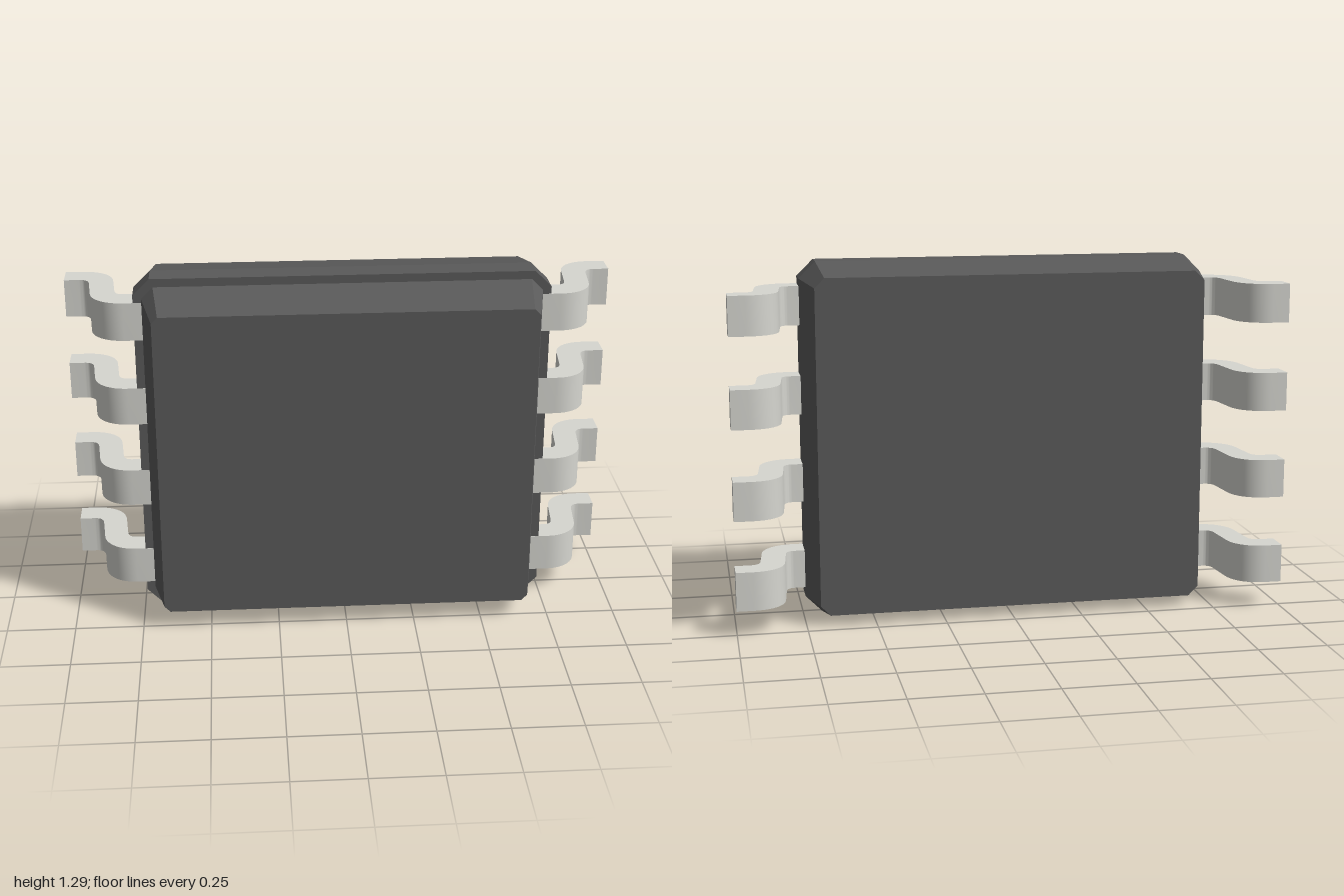
import * as THREE from 'three';
import { toCreasedNormals } from 'three/addons/utils/BufferGeometryUtils.js';

const MID_Y = 0.645;

// Rectangle with chamfered corners, counter-clockwise seen from +z
function ring([z, hw, hh, c]) {
  return [
    [hw, -hh + c], [hw, hh - c], [hw - c, hh], [-hw + c, hh],
    [-hw, hh - c], [-hw, -hh + c], [-hw + c, -hh], [hw - c, -hh],
  ].map(([x, y]) => [x, y, z]);
}

// Faceted solid through sections ordered from back to front
function loft(sections) {
  const rings = sections.map(ring);
  const pos = [];
  const tri = (a, b, c) => pos.push(...a, ...b, ...c);
  for (let i = 0; i < rings.length - 1; i++) {
    for (let j = 0; j < 8; j++) {
      const k = (j + 1) % 8;
      const [p, q] = [rings[i], rings[i + 1]];
      tri(p[j], p[k], q[k]);
      tri(p[j], q[k], q[j]);
    }
  }
  const back = rings[0], front = rings[rings.length - 1];
  for (let j = 1; j < 7; j++) {
    tri(back[0], back[j + 1], back[j]);
    tri(front[0], front[j], front[j + 1]);
  }
  const geo = new THREE.BufferGeometry();
  geo.setAttribute('position', new THREE.Float32BufferAttribute(pos, 3));
  geo.computeVertexNormals();
  return geo;
}

// S-bent strip, drawn with shape y = -z and extruded along the height
function leadGeometry() {
  const height = 0.14;
  const s = new THREE.Shape();
  s.moveTo(0.66, -0.08);
  s.lineTo(0.775, -0.08);
  s.bezierCurveTo(0.84, -0.08, 0.89, -0.035, 0.896, 0.03);
  s.lineTo(0.907, 0.145);
  s.quadraticCurveTo(0.911, 0.183, 0.945, 0.183);
  s.lineTo(1, 0.183);
  s.lineTo(1, 0.275);
  s.lineTo(0.94, 0.275);
  s.bezierCurveTo(0.875, 0.275, 0.827, 0.235, 0.821, 0.17);
  s.lineTo(0.81, 0.05);
  s.quadraticCurveTo(0.806, 0.017, 0.775, 0.017);
  s.lineTo(0.66, 0.017);
  const geo = new THREE.ExtrudeGeometry(s, { depth: height, bevelEnabled: false, curveSegments: 12 });
  geo.translate(0, 0, -height / 2);
  geo.rotateX(-Math.PI / 2);
  return toCreasedNormals(geo, 0.6);
}

export function createModel() {
  const model = new THREE.Group();
  model.name = 'chipPackage';
  const plastic = new THREE.MeshStandardMaterial({ color: 0x5a5a5a });
  const metal = new THREE.MeshStandardMaterial({ color: 0xd6d6d0 });

  // Moulded body: tapered back, wide rim, step, narrower tapered front
  const body = new THREE.Mesh(loft([
    [-0.21, 0.70, 0.605, 0.035],
    [-0.015, 0.74, 0.645, 0.06],
    [0.079, 0.74, 0.645, 0.06],
    [0.079, 0.71, 0.615, 0.042],
    [0.275, 0.67, 0.573, 0.022],
  ]), plastic);
  body.name = 'body';
  body.position.y = MID_Y;
  model.add(body);

  // Four bent leads on each side
  const geo = leadGeometry();
  for (const side of ['left', 'right']) {
    for (let i = 0; i < 4; i++) {
      const lead = new THREE.Mesh(geo, metal);
      lead.name = `${side}Lead${i + 1}`;
      lead.position.y = MID_Y + 0.004 + (i - 1.5) * 0.323;
      if (side === 'right') lead.rotation.z = Math.PI;
      model.add(lead);
    }
  }
  return model;
}
